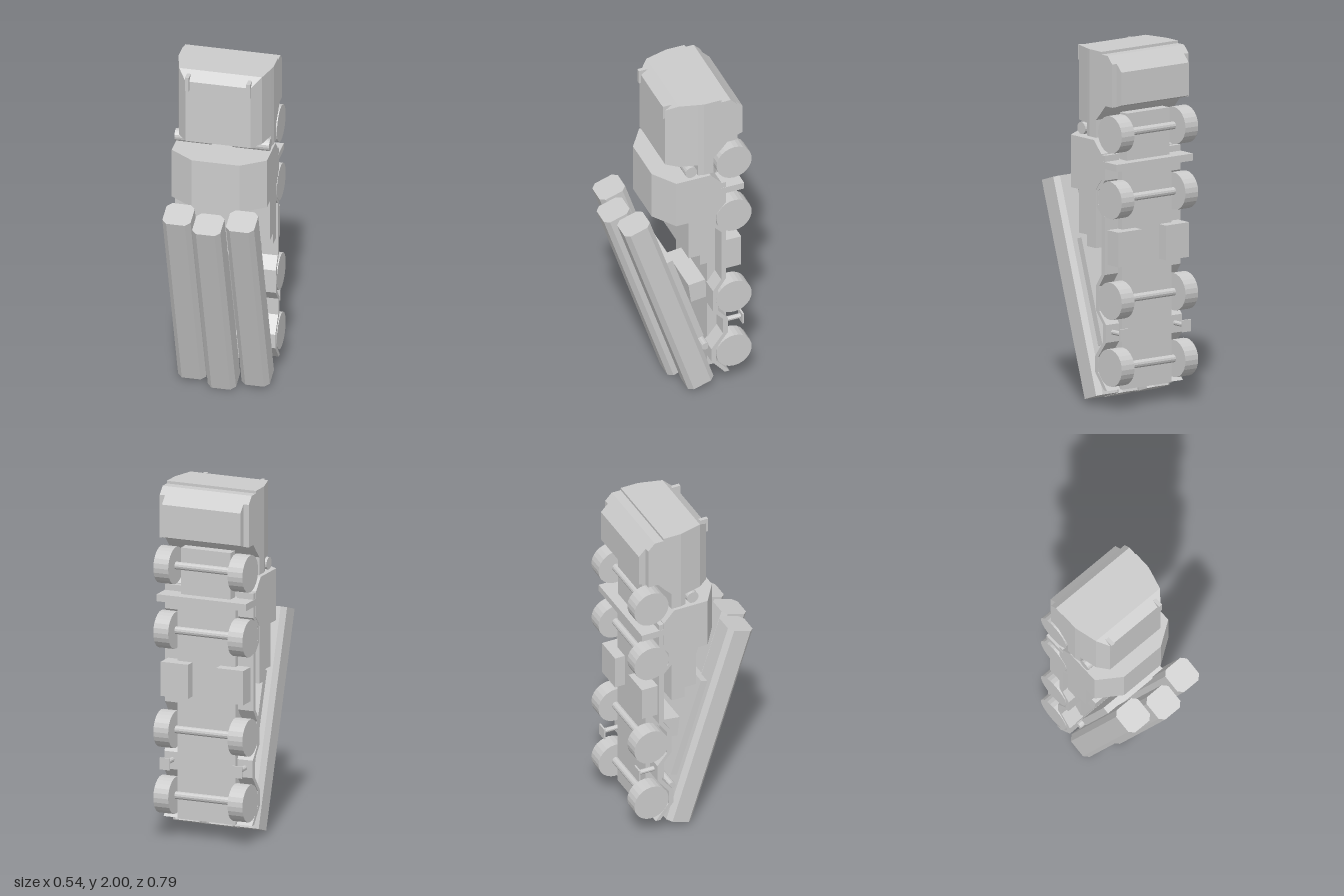
import * as THREE from 'three';

const mat = new THREE.MeshStandardMaterial({ color: 0xcccccc, flatShading: true });

export function createModel() {
  const root = new THREE.Group();
  root.name = 'launcherTruck';

  const add = (name, geo, parent = root) => {
    const m = new THREE.Mesh(geo, mat);
    m.name = name;
    parent.add(m);
    return m;
  };
  // Box given by its extents
  const box = (name, x0, x1, y0, y1, z0, z1, parent) =>
    add(name, new THREE.BoxGeometry(x1 - x0, y1 - y0, z1 - z0)
      .translate((x0 + x1) / 2, (y0 + y1) / 2, (z0 + z1) / 2), parent);
  // Cylinder lying along x
  const rod = (name, x0, x1, y, z, r, sides) =>
    add(name, new THREE.CylinderGeometry(r, r, x1 - x0, sides)
      .rotateZ(Math.PI / 2).translate((x0 + x1) / 2, y, z));
  // Symmetric hull from stations [z, halfWidth, bottom, top], running from +z to -z
  const hull = (name, stations) => {
    const pos = [], idx = [];
    stations.forEach(([z, w, b, t]) => pos.push(-w, b, z, w, b, z, w, t, z, -w, t, z));
    for (let s = 0; s < stations.length - 1; s++) {
      for (let i = 0; i < 4; i++) {
        const a = s * 4 + i, c = s * 4 + (i + 1) % 4;
        idx.push(a, a + 4, c, c, a + 4, c + 4);
      }
    }
    const e = (stations.length - 1) * 4;
    idx.push(0, 1, 2, 0, 2, 3, e, e + 2, e + 1, e, e + 3, e + 2);
    const g = new THREE.BufferGeometry();
    g.setAttribute('position', new THREE.Float32BufferAttribute(pos, 3));
    g.setIndex(idx);
    const flat = g.toNonIndexed();
    flat.computeVertexNormals();
    return add(name, flat);
  };

  // Cab with bevelled front corners
  hull('cab', [
    [0.087, 0.185, 1.58, 1.955], [0.025, 0.235, 1.58, 2], [-0.077, 0.262, 1.58, 2],
    [-0.077, 0.262, 1.51, 2], [-0.11, 0.27, 1.51, 2], [-0.167, 0.27, 1.51, 2],
    [-0.167, 0.27, 1.61, 2], [-0.215, 0.27, 1.66, 2], [-0.215, 0.27, 1.66, 1.985],
    [-0.25, 0.27, 1.7, 1.985], [-0.27, 0.27, 1.7, 1.985], [-0.31, 0.27, 1.7, 1.943],
    [-0.31, 0.238, 1.7, 1.943], [-0.352, 0.238, 1.715, 1.9],
  ]);

  // Equipment housing behind the cab
  hull('housing', [
    [0.147, 0.135, 1.2, 1.495], [0.055, 0.27, 1.2, 1.495], [-0.018, 0.27, 1.2, 1.495],
    [-0.018, 0.27, 0.955, 1.495], [-0.087, 0.27, 0.955, 1.495], [-0.087, 0.27, 0.89, 1.495],
    [-0.15, 0.27, 0.89, 1.495], [-0.167, 0.27, 0.89, 1.476], [-0.167, 0.27, 1.22, 1.476],
    [-0.214, 0.27, 1.28, 1.425],
  ]);

  // Chassis
  box('chassis', -0.175, 0.175, 0.1, 1.36, -0.28, -0.167);
  box('frontFrame', -0.15, 0.15, 1.34, 1.65, -0.29, -0.23);
  box('crossPlate', -0.27, 0.27, 1.345, 1.385, -0.35, -0.2);

  // Fender strip: front edge line in (z, y), arching over the wheels
  const line = [
    [-0.214, 1.42], [-0.214, 1.28], [-0.156, 1.215], [-0.156, 1.14], [-0.214, 1.08],
    [-0.214, 0.75], [-0.165, 0.68], [-0.165, 0.54], [-0.225, 0.47], [-0.225, 0.37],
    [-0.155, 0.28], [-0.155, 0.195], [-0.235, 0.1],
  ];
  const fenderShape = new THREE.Shape([
    ...line.map(([z, y]) => new THREE.Vector2(-z, y)),
    ...line.slice().reverse().map(([z, y]) => new THREE.Vector2(-z + 0.028, y)),
  ]);
  const wheelY = [1.545, 1.176, 0.61, 0.235];

  // Parts mirrored left and right
  for (const s of [-1, 1]) {
    const span = (a, b) => (s > 0 ? [a, b] : [-b, -a]);

    const fender = new THREE.ExtrudeGeometry(fenderShape, { depth: 0.1, bevelEnabled: false });
    fender.rotateY(Math.PI / 2).translate(s > 0 ? 0.168 : -0.268, 0, 0);
    add('fender', fender);

    for (const y of wheelY) rod('wheel', ...span(0.18, 0.27), y, -0.29, 0.105, 24);
    rod('frontRoller', ...span(0.06, 0.268), 1.545, -0.035, 0.035, 16);
    box('mirror', ...span(0.163, 0.185), 1.9, 1.985, 0.05, 0.1);
    box('underBox', ...span(0.085, 0.25), 0.805, 1, -0.34, -0.24);

    // Foot of the stabiliser jack
    add('jackRod', new THREE.CylinderGeometry(0.014, 0.014, 0.12, 10)
      .rotateX(Math.PI / 2).translate(s * 0.22, 0.425, -0.29));
    box('jackPad', ...span(0.19, 0.25), 0.39, 0.457, -0.357, -0.347);
  }
  for (const y of wheelY) rod('axle', -0.19, 0.19, y, -0.29, 0.022, 12);

  // Raising gear between chassis and launcher
  const lift = new THREE.Group();
  lift.name = 'liftGear';
  lift.position.set(0, 0.62, -0.11);
  lift.rotation.x = 0.12;
  root.add(lift);
  box('liftBlock', -0.16, 0.16, -0.06, 0.06, -0.06, 0.04, lift);
  add('liftRod', new THREE.CylinderGeometry(0.014, 0.014, 0.09, 10)
    .rotateX(Math.PI / 2).translate(0, 0, 0.07), lift);
  rod('launcherPivot', -0.22, 0.22, 0.27, -0.14, 0.022, 12);

  // Launcher: three tilted canisters on a cradle
  const launcher = new THREE.Group();
  launcher.name = 'launcher';
  launcher.position.set(0, 0, 0.02);
  launcher.rotation.x = 0.312;
  root.add(launcher);

  const W = 0.08, C = 0.027;
  const section = new THREE.Shape([
    [W - C, -W], [W, -W + C], [W, W - C], [W - C, W],
    [-W + C, W], [-W, W - C], [-W, -W + C], [-W + C, -W],
  ].map(([x, y]) => new THREE.Vector2(x, y)));
  for (const i of [-1, 0, 1]) {
    const tube = new THREE.ExtrudeGeometry(section, { depth: 1.235, bevelEnabled: false });
    tube.rotateX(-Math.PI / 2).translate(i * 0.18, 0, i ? -0.132 : -0.081);
    add('canister', tube, launcher);
  }
  box('cradle', -0.2, 0.2, 0.27, 0.875, -0.252, -0.205, launcher);

  return root;
}
